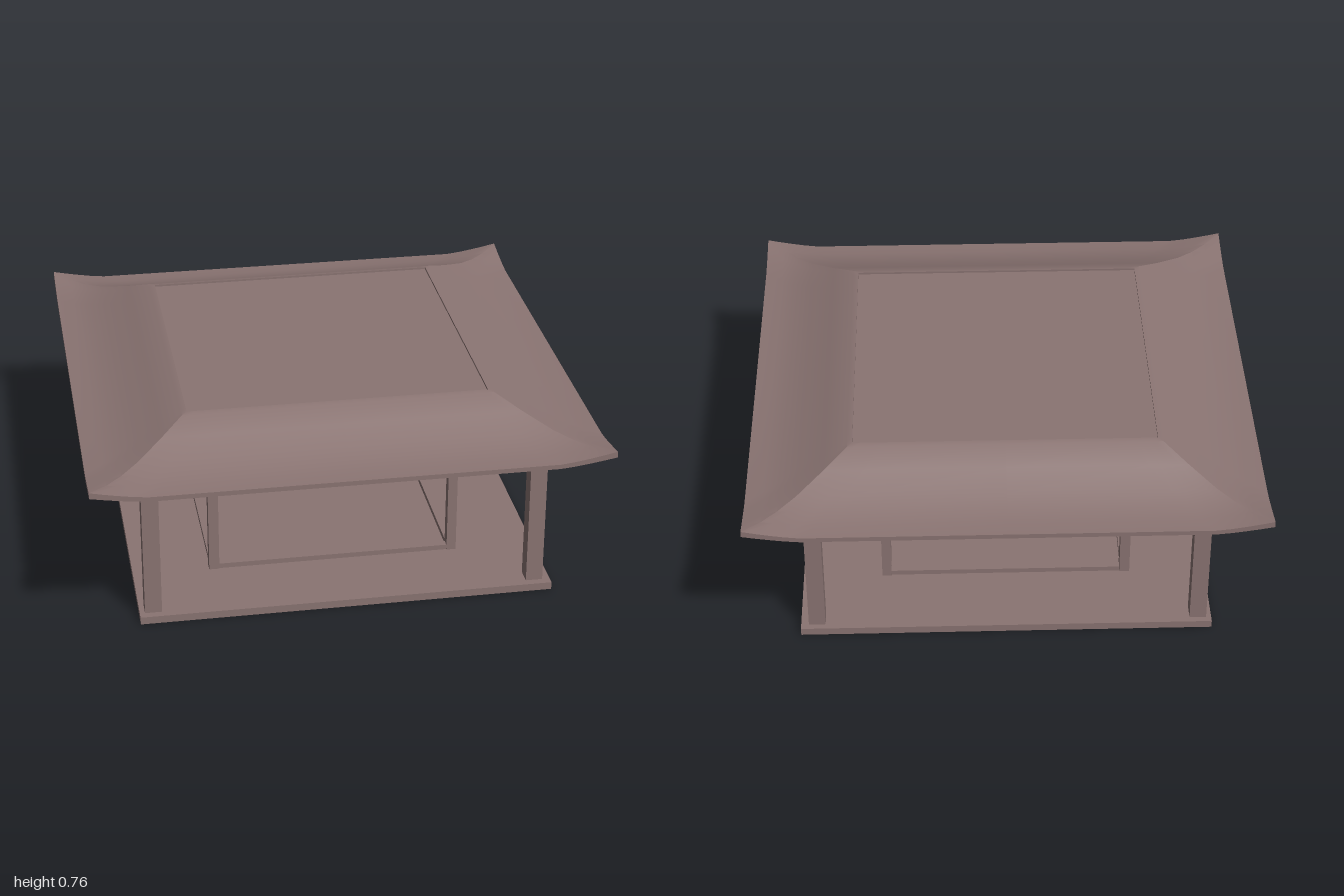
import * as THREE from 'three';
import { toCreasedNormals } from 'three/addons/utils/BufferGeometryUtils.js';

const material = new THREE.MeshStandardMaterial({ color: 0x8a7472 });

function box(parent, name, x0, x1, y0, y1, z0, z1) {
  const mesh = new THREE.Mesh(new THREE.BoxGeometry(x1 - x0, y1 - y0, z1 - z0), material);
  mesh.position.set((x0 + x1) / 2, (y0 + y1) / 2, (z0 + z1) / 2);
  mesh.name = name;
  parent.add(mesh);
}

// Square rings [half size, height, corner lift], from the top centre out over the eave and back underneath
function roofGeometry() {
  const rings = [
    [0, 0.757, 0], [0.59, 0.757, 0], [0.59, 0.765, 0], [0.61, 0.762, 0],
    [0.7, 0.72, 0], [0.8, 0.677, 0.003], [0.87, 0.655, 0.01], [0.93, 0.643, 0.02], [1, 0.64, 0.036],
    [1, 0.622, 0.03], [0.9, 0.612, 0.014], [0.8, 0.603, 0],
    [0.7, 0.655, 0], [0.58, 0.72, 0], [0, 0.72, 0],
  ];
  const steps = [-1, -0.95, -0.9, -0.84, -0.78, 0, 0.78, 0.84, 0.9, 0.95];
  const count = steps.length * 4;
  const point = ([r, y, lift], j) => {
    const side = Math.floor((j % count) / steps.length);
    const t = steps[j % steps.length];
    const [x, z] = [[t, 1], [1, -t], [-t, -1], [-1, t]][side];
    const rise = lift * Math.pow(Math.max(0, (Math.abs(t) - 0.78) / 0.22), 1.3);
    return [x * r * 0.98, y + rise, z * r];
  };
  const positions = [];
  for (let i = 0; i < rings.length - 1; i++) {
    const inner = rings[i], outer = rings[i + 1];
    for (let j = 0; j < count; j++) {
      const a = point(inner, j), b = point(inner, j + 1);
      const c = point(outer, j + 1), d = point(outer, j);
      if (outer[0] > 0) positions.push(...d, ...c, ...b);
      if (inner[0] > 0) positions.push(...d, ...b, ...a);
    }
  }
  const geometry = new THREE.BufferGeometry();
  geometry.setAttribute('position', new THREE.Float32BufferAttribute(positions, 3));
  return toCreasedNormals(geometry, 0.3);
}

export function createModel() {
  const model = new THREE.Group();
  model.name = 'pavilion';

  // Floor slab
  box(model, 'floor', -0.8, 0.8, 0, 0.03, -0.81, 0.835);

  // Thick outer posts and slim inner posts
  for (const [x0, x1] of [[-0.78, -0.715], [0.705, 0.77]])
    for (const [z0, z1] of [[-0.785, -0.72], [0.74, 0.805]])
      box(model, 'outerPost', x0, x1, 0.03, 0.64, z0, z1);
  for (const [x0, x1] of [[-0.5, -0.46], [0.45, 0.487]])
    for (const [z0, z1] of [[-0.5, -0.46], [0.487, 0.525]])
      box(model, 'innerPost', x0, x1, 0.03, 0.615, z0, z1);

  // Low rails joining the inner posts
  for (const z of [-0.48, 0.506]) box(model, 'floorRail', -0.46, 0.45, 0.03, 0.05, z - 0.015, z + 0.015);
  for (const x of [-0.48, 0.468]) box(model, 'floorRail', x - 0.015, x + 0.015, 0.03, 0.05, -0.46, 0.487);

  // Beams under the roof
  for (const s of [-1, 1]) {
    box(model, 'roofBeam', -0.52, 0.52, 0.607, 0.65, s * 0.65 - 0.02, s * 0.65 + 0.02);
    box(model, 'roofBeam', s * 0.63 - 0.02, s * 0.63 + 0.02, 0.607, 0.65, -0.58, 0.6);
  }

  // Flared roof with upturned corners and a hollow underside
  const roof = new THREE.Mesh(roofGeometry(), material);
  roof.name = 'roof';
  model.add(roof);

  return model;
}
